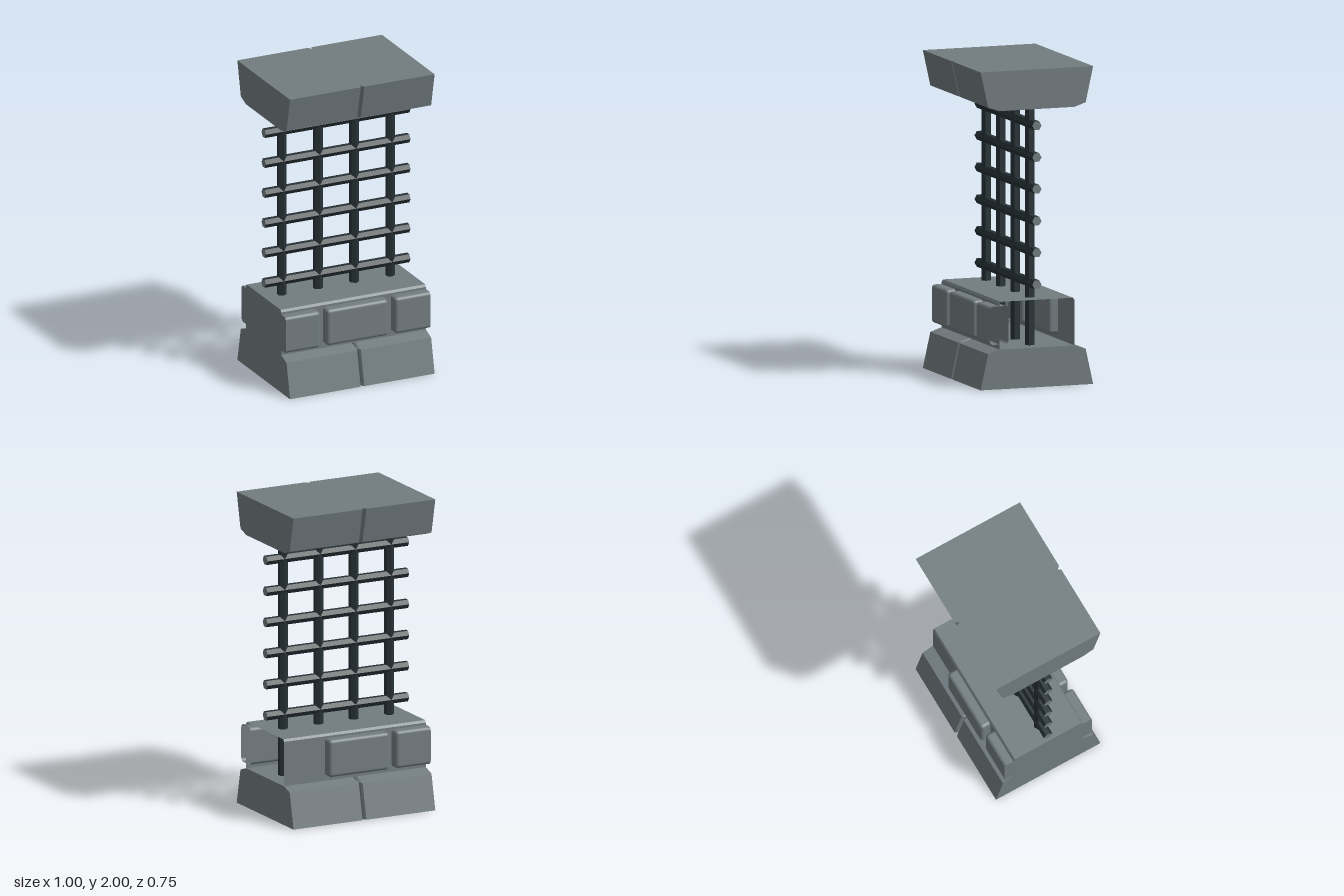
import * as THREE from 'three';
import { RoundedBoxGeometry } from 'three/addons/geometries/RoundedBoxGeometry.js';

const stone = new THREE.MeshStandardMaterial({ color: 0x727c80, flatShading: true, side: THREE.DoubleSide });
const brickStone = new THREE.MeshStandardMaterial({ color: 0x727c80, side: THREE.DoubleSide });
const iron = new THREE.MeshStandardMaterial({ color: 0x263135, flatShading: true });

function add(parent, name, geometry, material) {
  const mesh = new THREE.Mesh(geometry, material);
  mesh.name = name;
  parent.add(mesh);
  return mesh;
}

// Skins closed [z, y] sections placed along x; ends may be left open
function loft(sections, capStart, capEnd) {
  const pos = [], idx = [], n = sections[0].points.length;
  for (const s of sections) for (const [z, y] of s.points) pos.push(s.x, y, z);
  for (let s = 0; s < sections.length - 1; s++) {
    for (let i = 0; i < n; i++) {
      const a = s * n + i, b = s * n + (i + 1) % n;
      idx.push(a, b, a + n, b, b + n, a + n);
    }
  }
  const last = (sections.length - 1) * n;
  for (let i = 1; i < n - 1; i++) {
    if (capStart) idx.push(0, i + 1, i);
    if (capEnd) idx.push(last, last + i, last + i + 1);
  }
  const g = new THREE.BufferGeometry();
  g.setAttribute('position', new THREE.Float32BufferAttribute(pos, 3));
  g.setIndex(idx);
  const flat = g.toNonIndexed();
  flat.computeVertexNormals();
  return flat;
}

// Tapered kerb block with a joint groove at the middle; the y = 0 face stays flat
function blockGeometry() {
  const section = (x, d) => ({
    x,
    points: [[-0.375 + d, 0], [-0.325 + d, 0.225], [-0.25 + d * 0.5, 0.25 - d * 0.6],
      [0.25 - d * 0.5, 0.25 - d * 0.6], [0.325 - d, 0.225], [0.375 - d, 0]],
  });
  const steps = [[-0.5, 0], [-0.014, 0], [-0.005, 0.014], [0, 0.03], [0.005, 0.014], [0.014, 0], [0.5, 0]];
  return loft(steps.map(([x, d]) => section(x, d)), true, true);
}

// Rounded brick, cut flush where it passes the ends of the wall
function brickGeometry(x, z, open) {
  const g = new RoundedBoxGeometry(0.425, 0.24, 0.125, 3, 0.022);
  g.translate(x, 0.402, z);
  const p = g.attributes.position, nrm = g.attributes.normal;
  const pos = [], normals = [];
  for (let t = 0; t < p.count; t += 3) {
    const xs = [0, 1, 2].map((k) => THREE.MathUtils.clamp(p.getX(t + k), -0.5, 0.5));
    // an open brick loses the triangles lying in the cut plane
    if (open && xs.every((v) => Math.abs(v) > 0.4999)) continue;
    const flush = xs.every((v) => Math.abs(v) > 0.4999);
    for (let k = 0; k < 3; k++) {
      pos.push(xs[k], p.getY(t + k), p.getZ(t + k));
      if (flush) normals.push(Math.sign(x), 0, 0);
      else if (Math.abs(xs[k]) > 0.4999) {
        // keep the long edges smooth up to the cut
        const v = new THREE.Vector3(0, nrm.getY(t + k), nrm.getZ(t + k)).normalize();
        normals.push(v.x, v.y, v.z);
      } else normals.push(nrm.getX(t + k), nrm.getY(t + k), nrm.getZ(t + k));
    }
  }
  const out = new THREE.BufferGeometry();
  out.setAttribute('position', new THREE.Float32BufferAttribute(pos, 3));
  out.setAttribute('normal', new THREE.Float32BufferAttribute(normals, 3));
  return out;
}

export function createModel() {
  const model = new THREE.Group();
  model.name = 'barredWall';

  // Base block and the same block turned over as the lintel
  add(model, 'baseBlock', blockGeometry(), stone);
  const lintel = add(model, 'lintelBlock', blockGeometry(), stone);
  lintel.rotation.x = Math.PI;
  lintel.position.y = 2;

  // Low wall, hollow and open at its left (+x) end
  const wallPoints = [[-0.25, 0.25], [-0.25, 0.535], [-0.24, 0.55], [0.24, 0.55], [0.25, 0.535], [0.25, 0.25]];
  add(model, 'lowWall', loft([{ x: -0.5, points: wallPoints }, { x: 0.5, points: wallPoints }], true, false), stone);

  // Raised bricks: three in front, two behind
  const bricks = new THREE.Group();
  bricks.name = 'bricks';
  model.add(bricks);
  for (const x of [-0.47, 0, 0.47]) add(bricks, 'frontBrick', brickGeometry(x, 0.2525, x > 0), brickStone);
  for (const x of [-0.47, 0]) add(bricks, 'backBrick', brickGeometry(x, -0.2525, false), brickStone);

  // Six-sided bars forming the grille
  const grille = new THREE.Group();
  grille.name = 'grille';
  model.add(grille);
  const bar = (length) => new THREE.CylinderGeometry(0.031, 0.031, length, 6);
  for (const x of [-0.375, -0.125, 0.125, 0.375]) {
    add(grille, 'verticalBar', bar(1.5), iron).position.set(x, 1, 0);
  }
  for (let i = 0; i < 6; i++) {
    const rail = add(grille, 'horizontalBar', bar(1), [iron, stone, stone]);
    rail.rotation.z = Math.PI / 2;
    rail.position.y = 0.645 + i * 0.2;
  }
  return model;
}
